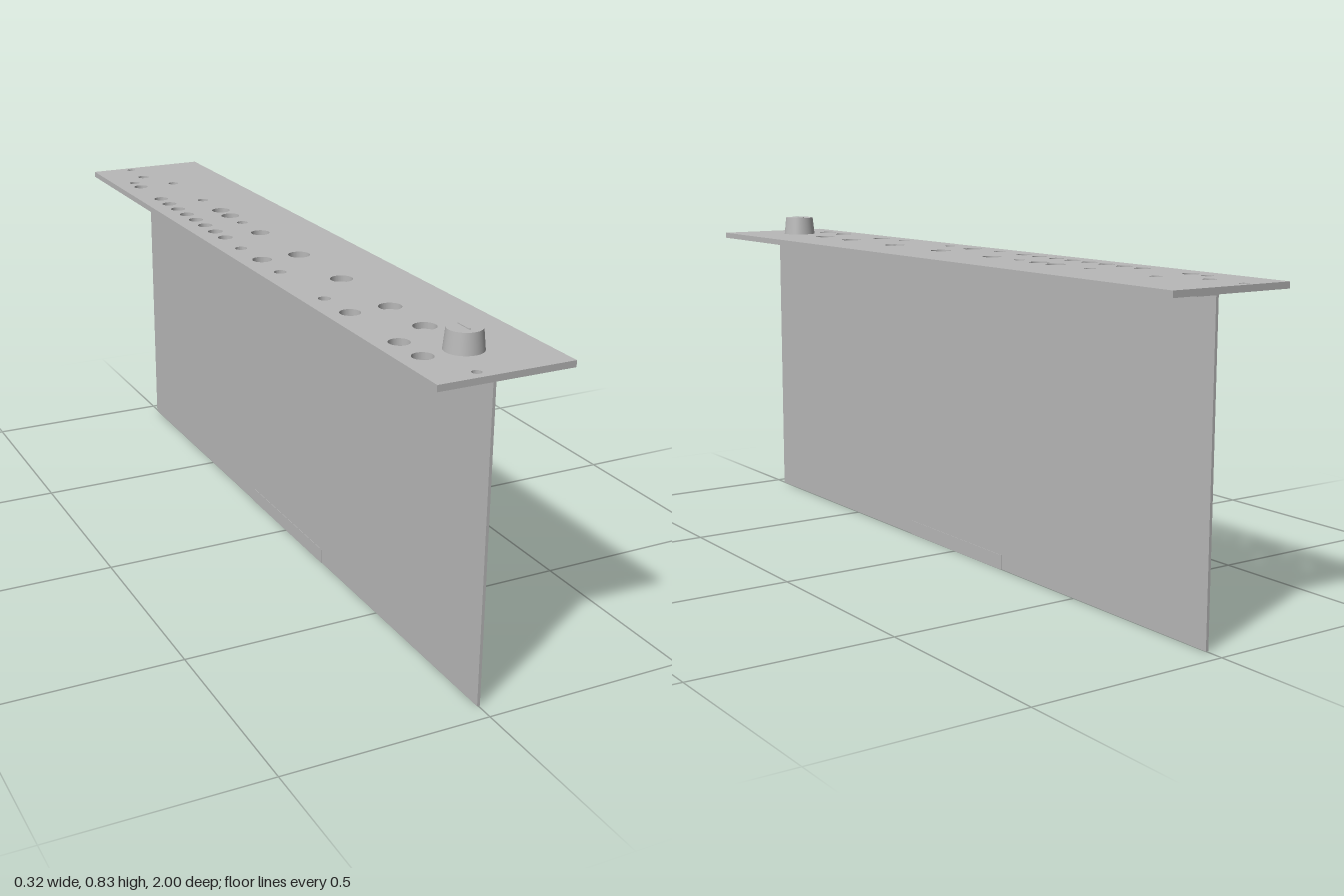
import * as THREE from 'three';

export function createModel() {
  const group = new THREE.Group();
  const grey = new THREE.MeshStandardMaterial({ color: 0xb8b8b8 });
  grey.name = 'plain grey';

  const add = (name, geometry, x, y, z) => {
    const mesh = new THREE.Mesh(geometry, grey);
    mesh.name = name;
    mesh.position.set(x, y, z);
    group.add(mesh);
    return mesh;
  };
  // Box given by its limits on each axis
  const box = (name, [x0, x1], [y0, y1], [z0, z1]) =>
    add(name, new THREE.BoxGeometry(x1 - x0, y1 - y0, z1 - z0), (x0 + x1) / 2, (y0 + y1) / 2, (z0 + z1) / 2);

  // Front panel drilled with rows of holes: x of the row, then [radius, z positions]
  const rows = [
    [-0.055, [[0.011, [-0.976, 0.971]], [0.015, [-0.873]]]],
    [-0.104, [
      [0.014, [-0.814]],
      [0.019, [-0.761, -0.602, -0.538, -0.475, -0.411, -0.347, -0.284, -0.215, -0.151]],
      [0.024, [0.074, 0.533, 0.75, 0.846]],
    ]],
    [-0.109, [[0.015, [-0.04, 0.188, 0.419]]]],
    [-0.004, [
      [0.014, [-0.761, -0.538, -0.268]],
      [0.024, [-0.411, -0.347, -0.154]],
      [0.027, [0.074, 0.3, 0.533, 0.684]],
    ]],
  ];
  const outline = new THREE.Shape([
    new THREE.Vector2(-0.162, -1), new THREE.Vector2(0.162, -1),
    new THREE.Vector2(0.162, 1), new THREE.Vector2(-0.162, 1),
  ]);
  for (const [x, sets] of rows)
    for (const [radius, list] of sets)
      for (const z of list)
        outline.holes.push(new THREE.Path().absarc(x, -z, radius, 0, Math.PI * 2, true));
  const panelGeometry = new THREE.ExtrudeGeometry(outline, { depth: 0.015, bevelEnabled: false, curveSegments: 28 });
  panelGeometry.rotateX(-Math.PI / 2);
  add('panel', panelGeometry, 0, 0.77, 0);

  // Upright board with a mounting flange and a slightly proud edge connector
  box('circuitBoard', [-0.004, 0.003], [0.001, 0.77], [-0.955, 0.955]);
  box('mountingFlange', [0.003, 0.058], [0.762, 0.77], [-0.955, 0.955]);
  box('edgeConnector', [-0.005, 0.004], [0, 0.038], [-0.21, 0.21]);

  // Tapered knob and its pointer mark
  add('knob', new THREE.CylinderGeometry(0.0395, 0.0445, 0.048, 48), -0.0065, 0.809, 0.845);
  box('knobPointer', [-0.0085, -0.0045], [0.832, 0.835], [0.82, 0.865]);

  return group;
}
